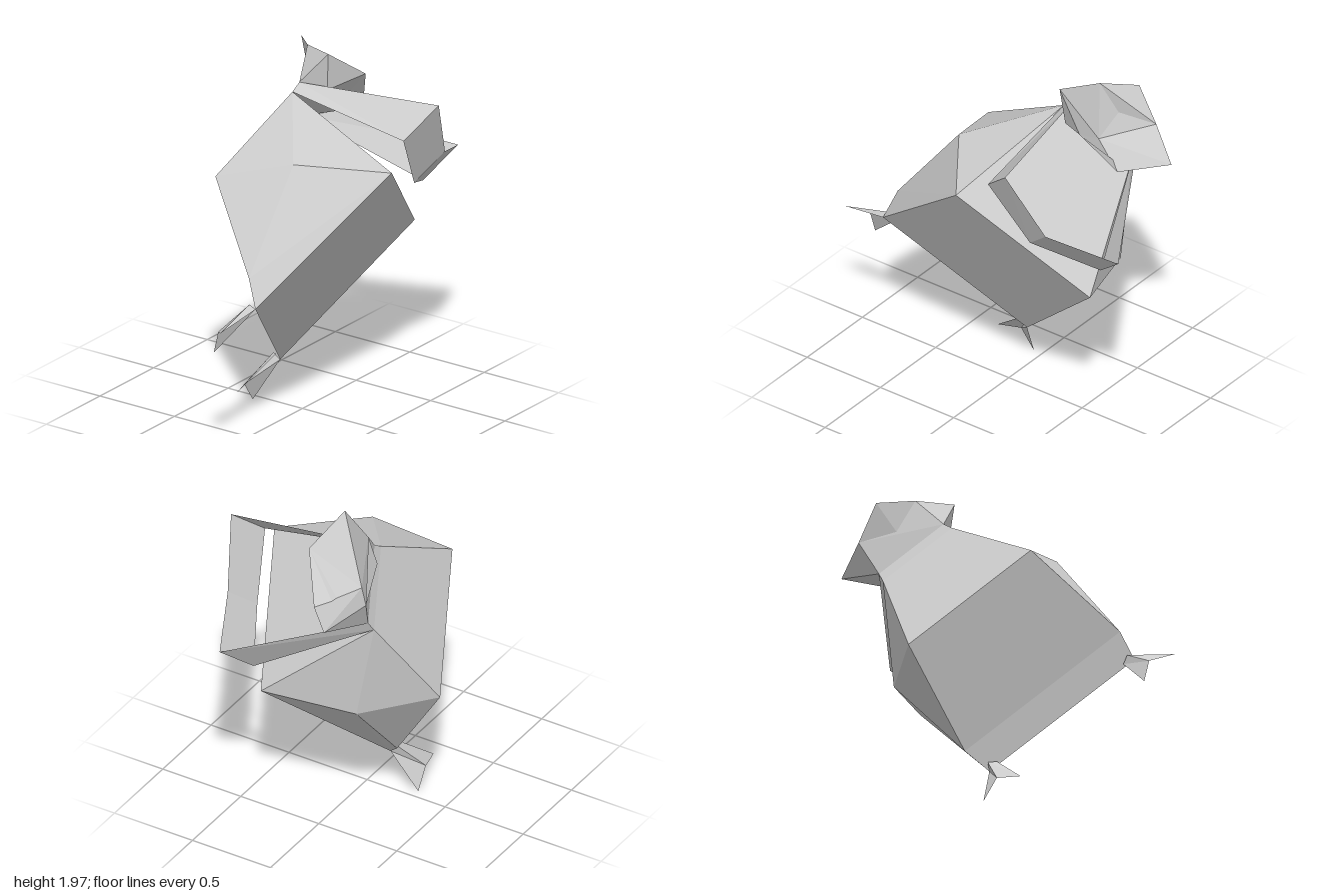
import * as THREE from 'three';

// Folded-paper creature, modelled upright (x across, y up, z forward) and then tipped as a whole.
const paper = new THREE.MeshStandardMaterial({ color: 0xcccccc, side: THREE.DoubleSide });
paper.name = 'grey paper';

const flip = ([x, y, z]) => [-x, y, z];
const mirrorFace = (face) => face.map(flip).reverse();
const bothSides = (faces) => [...faces, ...faces.map(mirrorFace)];

// Flat-shaded mesh from convex polygons, each split as a fan.
function sheet(name, faces) {
  const pos = [];
  for (const f of faces) {
    for (let i = 1; i < f.length - 1; i++) pos.push(...f[0], ...f[i], ...f[i + 1]);
  }
  const geo = new THREE.BufferGeometry();
  geo.setAttribute('position', new THREE.Float32BufferAttribute(pos, 3));
  geo.computeVertexNormals();
  const mesh = new THREE.Mesh(geo, paper);
  mesh.name = name;
  return mesh;
}

export function createModel() {
  const pose = new THREE.Group();
  pose.name = 'creature';

  // Body corners on the +x side
  const heel = [0.505, 0, 0.11], chest = [0.47, 0, 1.17];
  const rump = [0.54, 0.14, 0.207], flank = [0.567, 0.404, 0.827];
  const hip = [0.426, 0.716, 0.506], shoulder = [0.24, 0.795, 1.153];
  pose.add(sheet('body', [
    [heel, chest, flip(chest), flip(heel)],
    [chest, shoulder, flip(shoulder), flip(chest)],
    [shoulder, hip, flip(hip), flip(shoulder)],
    [hip, rump, flip(rump), flip(hip)],
    [rump, heel, flip(heel), flip(rump)],
    ...bothSides([
      [heel, rump, flank, chest],
      [rump, hip, flank],
      [hip, shoulder, flank],
      [shoulder, chest, flank],
    ]),
  ]));

  // Neck joining the shoulders to the head
  const nape = [0.225, 0.81, 1.22], jaw = [0.21, 0.67, 1.293];
  pose.add(sheet('neck', [
    [nape, shoulder, flip(shoulder), flip(nape)],
    [shoulder, jaw, flip(jaw), flip(shoulder)],
    ...bothSides([[shoulder, nape, jaw]]),
  ]));

  // Head: slightly turned, with a hollow face
  const pit = [0.01, 0.74, 1.219], crown = [-0.015, 1.053, 1.44];
  const earL = [0.362, 0.773, 1.523], earR = [-0.37, 0.761, 1.424];
  const browL = [0.195, 0.949, 1.394], browR = [-0.197, 0.935, 1.405];
  const chinL = [0.155, 0.585, 1.42], chinR = [-0.156, 0.595, 1.508];
  const rim = [chinL, earL, browL, crown, browR, earR, chinR];
  pose.add(sheet('face', rim.map((p, i) => [pit, p, rim[(i + 1) % rim.length]])));
  pose.add(sheet('headBack', [
    [browL, nape, flip(nape), browR],
    [browL, browR, crown],
    [chinR, flip(jaw), jaw, chinL],
    [earL, chinL, jaw],
    [earL, jaw, nape],
    [earL, nape, browL],
    [earR, flip(jaw), chinR],
    [earR, flip(nape), flip(jaw)],
    [earR, browR, flip(nape)],
  ]));

  // Arms: strips from the shoulders that fold in and meet at the middle
  const elbowIn = [0.395, 0.102, 1.35], elbowOut = [0.396, 0.1, 1.625];
  const handIn = [0, 0.01, 1.265], handOut = [0, 0.01, 1.506];
  pose.add(sheet('arms', bothSides([
    [shoulder, elbowIn, elbowOut, nape],
    [elbowIn, handIn, handOut, elbowOut],
  ])));

  // Feet: small folded sheets with a raised ridge
  const ridge = [0.485, 0.05, 0.11], ankle = [0.44, 0.02, 0.11];
  const toeOut = [0.665, 0, -0.135], toeMid = [0.53, 0.055, -0.12], toeIn = [0.43, 0.02, -0.21];
  const foot = [[heel, toeOut, toeMid, ridge], [ridge, toeMid, toeIn, ankle]];
  pose.add(sheet('leftFoot', foot));
  pose.add(sheet('rightFoot', foot.map(mirrorFace)));

  // Tip the whole creature
  const basis = new THREE.Matrix4().makeBasis(
    new THREE.Vector3(0.711, -0.611, -0.348),
    new THREE.Vector3(0, 0.495, -0.869),
    new THREE.Vector3(0.703, 0.618, 0.352),
  );
  pose.quaternion.setFromRotationMatrix(basis);
  pose.position.set(-0.429, 0.495, -0.018);

  const model = new THREE.Group();
  model.name = 'model';
  model.add(pose);
  return model;
}
